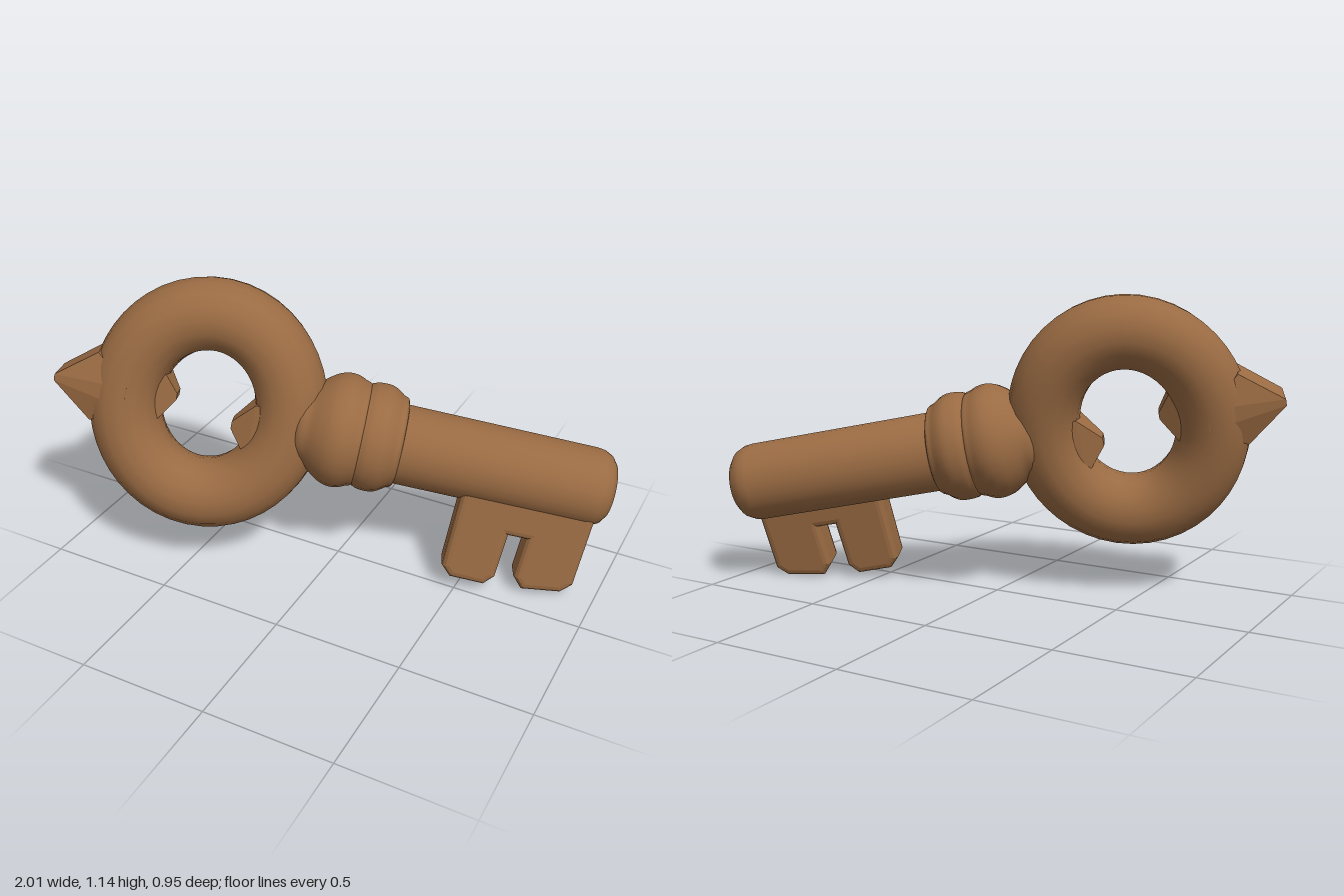
import * as THREE from 'three';
import { ConvexGeometry } from 'three/addons/geometries/ConvexGeometry.js';

// Key is modelled with +x along the shaft, +y away from the teeth, origin at the bow centre.
export function createModel() {
  const bronze = new THREE.MeshStandardMaterial({ color: 0x9a6b43 });
  bronze.name = 'bronze';
  const key = new THREE.Group();
  key.name = 'key';
  const add = (name, geometry) => {
    const mesh = new THREE.Mesh(geometry, bronze);
    mesh.name = name;
    key.add(mesh);
    return mesh;
  };

  // Oval bow with a round section, leaning back slightly
  const oval = [];
  for (let i = 0; i < 20; i++) {
    const t = (i / 20) * Math.PI * 2;
    oval.push(new THREE.Vector3(0.312 * Math.cos(t), 0.352 * Math.sin(t), 0));
  }
  const loop = new THREE.CatmullRomCurve3(oval, true);
  add('bow', new THREE.TubeGeometry(loop, 48, 0.136, 16, true).rotateX(-0.035));

  // Faceted wedges on the bow: each row is x, half height, half depth
  const wedge = (name, rows, y = 0) => {
    const points = [];
    for (const [x, h, d] of rows)
      for (const sy of [-1, 1]) for (const sz of [-1, 1])
        points.push(new THREE.Vector3(x, y + sy * h, sz * d));
    add(name, new ConvexGeometry(points));
  };
  wedge('outerPoint', [[-0.572, 0.012, 0.068], [-0.42, 0.135, 0.075], [-0.29, 0.04, 0.132]], 0.004);
  wedge('innerPointOuterSide', [[-0.118, 0.012, 0.03], [-0.19, 0.12, 0.06], [-0.28, 0.14, 0.09]], 0.015);
  wedge('innerPointShaftSide', [[0.1, 0.015, 0.03], [0.18, 0.11, 0.07], [0.27, 0.13, 0.1]], -0.05);

  // Turned collars along the shaft: rows are [x, radius]
  const turned = (name, rows) => {
    const curve = new THREE.SplineCurve(rows.map(([x, r]) => new THREE.Vector2(r, x)));
    const g = new THREE.LatheGeometry(curve.getPoints(rows.length * 4), 28);
    g.rotateZ(-Math.PI / 2).translate(0, 0.013, 0);
    add(name, g);
  };
  turned('bulgeCollar', [[0.33, 0], [0.34, 0.12], [0.39, 0.156], [0.43, 0.188], [0.47, 0.211],
    [0.515, 0.218], [0.56, 0.204], [0.595, 0.172], [0.605, 0]]);
  turned('bandCollar', [[0.575, 0], [0.58, 0.172], [0.595, 0.199], [0.63, 0.206], [0.67, 0.202],
    [0.71, 0.178], [0.738, 0.15], [0.742, 0]]);

  // Shaft with a softened end, dipping slightly towards the tip
  const shaft = new THREE.LatheGeometry([[0, 0.6], [0.152, 0.6], [0.15, 1.46], [0.146, 1.49],
    [0.132, 1.52], [0.105, 1.541], [0.05, 1.55], [0, 1.552]].map(([r, x]) => new THREE.Vector2(r, x)), 28);
  shaft.rotateZ(-Math.PI / 2 - 0.009).translate(0, 0.014, 0);
  add('shaft', shaft);

  // Two teeth joined by a web, with rounded edges
  const b = 0.026;
  const outline = [[0.995, 0], [0.99, -0.42], [1.012, -0.443], [1.175, -0.445], [1.197, -0.42],
    [1.205, -0.225], [1.272, -0.225], [1.266, -0.405], [1.288, -0.43], [1.465, -0.412],
    [1.492, -0.385], [1.504, 0]];
  const inset = outline.map(([x, y], i) => {
    const side = i < 3 || i === 6 || i === 7 || i === 8 ? 1 : -1;
    return new THREE.Vector2(x + side * b, y + b);
  });
  const teeth = new THREE.ExtrudeGeometry(new THREE.Shape(inset), {
    depth: 0.135 - 2 * b, bevelThickness: b, bevelSize: b, bevelSegments: 3,
  });
  teeth.translate(0, 0, -0.022 + b);
  add('teeth', teeth);

  // Tilt the whole key into its resting pose
  const axis = new THREE.Vector3(0.916, -0.183, -0.357).normalize();
  const normal = axis.clone().cross(new THREE.Vector3(0.097, 0.965, -0.241)).normalize();
  const up = normal.clone().cross(axis);
  key.quaternion.setFromRotationMatrix(new THREE.Matrix4().makeBasis(axis, up, normal));
  key.position.set(-0.45, 0.67, 0.19);

  const model = new THREE.Group();
  model.name = 'model';
  model.add(key);
  return model;
}
